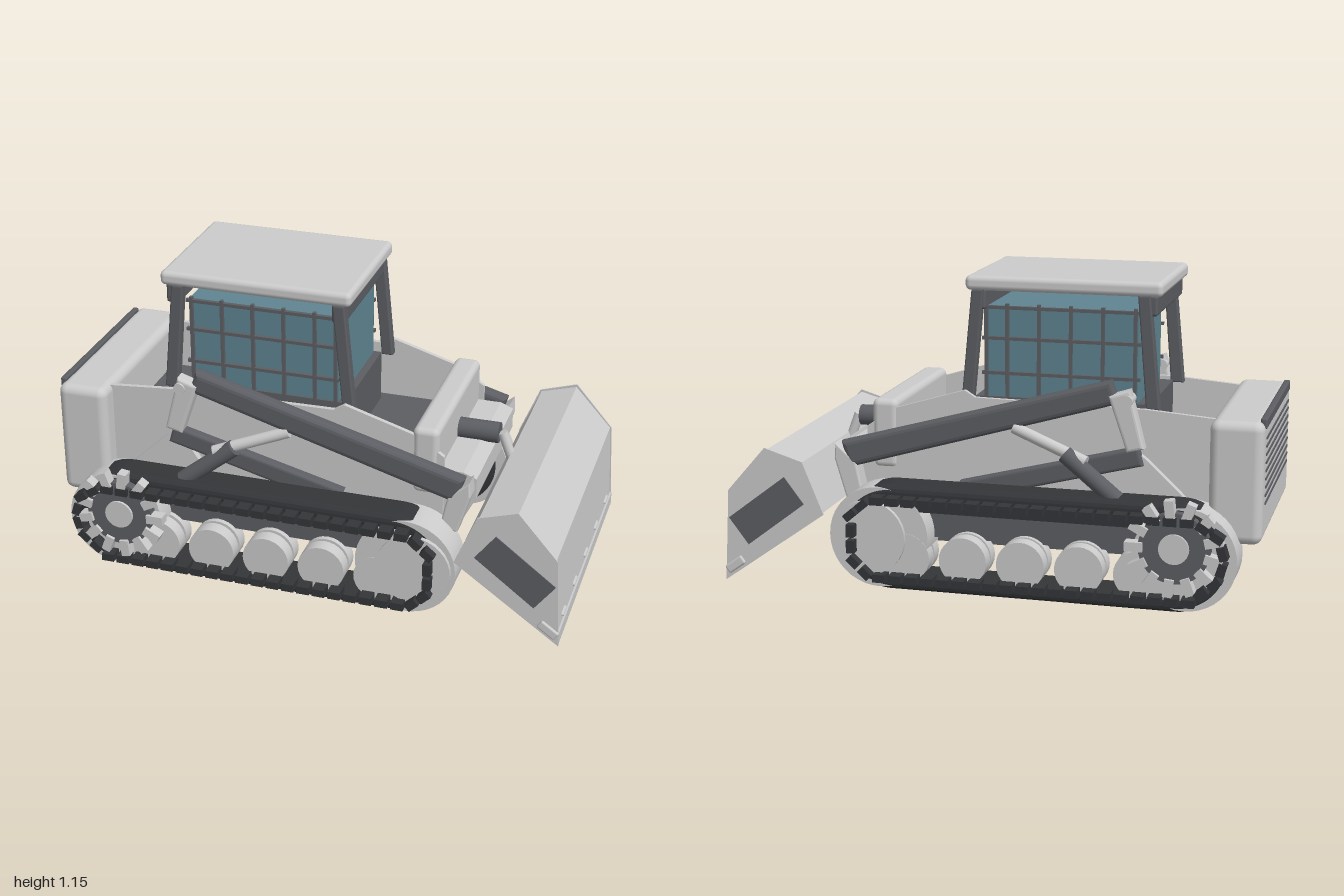
import * as THREE from 'three';
import { RoundedBoxGeometry } from 'three/addons/geometries/RoundedBoxGeometry.js';

const mat = (color) => new THREE.MeshStandardMaterial({ color });
const GREY = mat(0xcccccc);
const DARK = mat(0x5c5e63);
const RUBBER = mat(0x333538);
const GLASS = mat(0x5f8592);

export function createModel() {
  const root = new THREE.Group();
  root.name = 'trackedDozer';

  const add = (name, geometry, material, x = 0, y = 0, z = 0) => {
    const mesh = new THREE.Mesh(geometry, material);
    mesh.name = name;
    mesh.position.set(x, y, z);
    root.add(mesh);
    return mesh;
  };

  // box given by its limits on each axis, optionally rounded
  const block = (name, material, [x0, x1], [y0, y1], [z0, z1], r = 0) => {
    const w = x1 - x0, h = y1 - y0, d = Math.abs(z1 - z0);
    const geo = r ? new RoundedBoxGeometry(w, h, d, 3, r) : new THREE.BoxGeometry(w, h, d);
    return add(name, geo, material, (x0 + x1) / 2, (y0 + y1) / 2, (z0 + z1) / 2);
  };

  // side profile extruded between two z positions
  const slab = (name, material, shape, za, zb, bevel = 0) => {
    if (Array.isArray(shape)) shape = new THREE.Shape(shape.map(([x, y]) => new THREE.Vector2(x, y)));
    const z0 = Math.min(za, zb), z1 = Math.max(za, zb);
    const geo = new THREE.ExtrudeGeometry(shape, {
      depth: z1 - z0 - 2 * bevel, bevelEnabled: bevel > 0, bevelSize: bevel, bevelOffset: -bevel,
      bevelThickness: bevel, bevelSegments: 3, curveSegments: 20,
    });
    return add(name, geo, material, 0, 0, z0 + bevel);
  };

  // cylinder between two points
  const rod = (name, material, a, b, r, sides = 24) => {
    const p = new THREE.Vector3(...a), q = new THREE.Vector3(...b);
    const mesh = add(name, new THREE.CylinderGeometry(r, r, p.distanceTo(q), sides), material);
    mesh.position.copy(p).add(q).multiplyScalar(0.5);
    mesh.quaternion.setFromUnitVectors(new THREE.Vector3(0, 1, 0), q.sub(p).normalize());
    return mesh;
  };

  const stadium = (Path, x0, x1, y, r) => {
    const p = new Path();
    p.moveTo(x0, y - r);
    p.lineTo(x1, y - r);
    p.absarc(x1, y, r, -Math.PI / 2, Math.PI / 2, false);
    p.lineTo(x0, y + r);
    p.absarc(x0, y, r, Math.PI / 2, Math.PI * 1.5, false);
    return p;
  };

  // hull, rear engine box and nose
  slab('hull', DARK, [[-0.82, 0.24], [-0.72, 0.14], [0.4, 0.14], [0.52, 0.26], [0.52, 0.5], [-0.82, 0.5]], -0.28, 0.28);
  block('engineBox', GREY, [-0.995, -0.8], [0.24, 0.69], [-0.395, 0.395], 0.035);
  block('grilleTop', DARK, [-1, -0.975], [0.66, 0.7], [-0.35, 0.35], 0.008);
  for (let i = 0; i < 9; i++) {
    const y = 0.38 + i * 0.03;
    block('grilleSlat', DARK, [-0.999, -0.99], [y, y + 0.008], [-0.33, 0.33]);
  }
  block('frontCowl', GREY, [0.38, 0.48], [0.42, 0.685], [-0.325, 0.325], 0.025);
  slab('nose', GREY, [[0.46, 0.32], [0.57, 0.32], [0.62, 0.42], [0.62, 0.5], [0.57, 0.52], [0.46, 0.52]], -0.3, 0.3);
  rod('tiltCylinder', DARK, [0.46, 0.545, 0], [0.635, 0.545, 0], 0.04);
  rod('tiltRod', GREY, [0.645, 0.55, 0], [0.69, 0.43, 0], 0.019);

  // cab
  block('roof', GREY, [-0.605, 0.13], [1.1, 1.155], [-0.278, 0.278], 0.02);
  block('cabBase', DARK, [-0.56, 0.1], [0.45, 0.7], [-0.235, 0.235]);
  block('cabGlass', GLASS, [-0.51, 0.07], [0.69, 1.04], [-0.225, 0.225]);
  block('frontHeader', DARK, [0.055, 0.105], [1.03, 1.105], [-0.265, 0.265], 0.01);
  block('rearHeader', DARK, [-0.585, -0.535], [1.03, 1.105], [-0.265, 0.265], 0.01);

  // bucket with cutting edge and wear bolts
  const bucket = [[0.605, 0.29], [0.99, 0.022], [0.97, 0.355], [0.825, 0.515], [0.685, 0.475]];
  slab('bucket', GREY, bucket, -0.535, 0.535);
  const edge = [[0.82, 0.14], [0.995, 0.012], [0.995, 0.06], [0.985, 0.06]];
  slab('cuttingEdge', GREY, edge, -0.538, 0.538);
  for (let i = -2; i <= 2; i++) {
    const bolt = add('bucketBolt', new THREE.CapsuleGeometry(0.009, 0.045, 4, 10), GREY, 0.986, 0.086, i * 0.213);
    bolt.rotation.x = Math.PI / 2;
  }

  for (const s of [1, -1]) {
    // bucket ends
    slab('bucketEnd', GREY, [[0.6, 0.285], [0.995, 0.005], [0.975, 0.355], [0.827, 0.525], [0.68, 0.48]], s * 0.534, s * 0.54);
    const panel = add('bucketEndPanel', new THREE.BoxGeometry(0.28, 0.125, 0.008), DARK, 0.825, 0.285, s * 0.54);
    panel.rotation.z = -0.65;
    const lug = add('bucketEndBolt', new RoundedBoxGeometry(0.08, 0.035, 0.016, 2, 0.007), GREY, 0.955, 0.068, s * 0.541);
    lug.rotation.z = -0.62;

    // body side plate and arm stand
    slab('bodySide', GREY, [[-0.81, 0.3], [0.5, 0.3], [0.5, 0.58], [0.4, 0.65], [0.12, 0.735],
      [0.08, 0.71], [-0.56, 0.7], [-0.81, 0.68]], s * 0.3, s * 0.318);
    slab('armStand', GREY, [[-0.74, 0.36], [-0.4, 0.36], [-0.53, 0.55], [-0.57, 0.52]], s * 0.318, s * 0.345);

    // cab posts and window guard
    slab('frontPost', DARK, [[0.1, 0.69], [0.145, 0.69], [0.105, 1.105], [0.06, 1.105]], s * 0.235, s * 0.277, 0.006);
    slab('rearPost', DARK, [[-0.6, 0.69], [-0.55, 0.69], [-0.515, 1.105], [-0.56, 1.105]], s * 0.235, s * 0.277, 0.006);
    for (const x of [-0.5, -0.38, -0.26, -0.14, -0.02, 0.06])
      block('guardBar', DARK, [x - 0.006, x + 0.006], [0.69, 1.05], [s * 0.225, s * 0.24]);
    for (const y of [0.79, 0.92, 1.035])
      block('guardRail', DARK, [-0.52, 0.075], [y - 0.006, y + 0.006], [s * 0.225, s * 0.24]);

    // lift arm, links and hydraulic cylinder
    slab('liftArm', DARK, [[-0.47, 0.725], [-0.44, 0.81], [0.59, 0.525], [0.56, 0.425]], s * 0.315, s * 0.375, 0.02);
    slab('rearLink', GREY, [[-0.565, 0.565], [-0.5, 0.55], [-0.43, 0.755], [-0.51, 0.78]], s * 0.32, s * 0.38, 0.012);
    slab('lowerLink', DARK, [[-0.56, 0.5], [-0.54, 0.57], [0.13, 0.4], [0.1, 0.33]], s * 0.32, s * 0.365, 0.012);
    slab('armBracket', GREY, [[0.5, 0.31], [0.57, 0.31], [0.615, 0.46], [0.61, 0.52], [0.53, 0.45]], s * 0.3, s * 0.375, 0.008);
    rod('liftCylinder', DARK, [-0.48, 0.385, s * 0.425], [-0.28, 0.54, s * 0.405], 0.032);
    rod('liftRod', GREY, [-0.36, 0.515, s * 0.41], [-0.08, 0.615, s * 0.36], 0.022);
    rod('linkPin', GREY, [-0.5, 0.74, s * 0.31], [-0.5, 0.74, s * 0.388], 0.022);

    // track belt with crowned edges
    const belt = stadium(THREE.Shape, -0.705, 0.36, 0.2, 0.2);
    belt.holes.push(stadium(THREE.Path, -0.705, 0.36, 0.2, 0.135));
    slab('trackBelt', RUBBER, belt, s * 0.345, s * 0.49, 0.025);
    block('trackTopRun', RUBBER, [-0.64, 0.4], [0.305, 0.36], [s * 0.36, s * 0.485]);

    // end wheels, front idler face and track frame
    rod('rearWheel', GREY, [-0.735, 0.2, s * 0.35], [-0.735, 0.2, s * 0.488], 0.19, 40);
    rod('frontWheel', GREY, [0.405, 0.2, s * 0.35], [0.405, 0.2, s * 0.488], 0.19, 40);
    rod('idler', GREY, [0.44, 0.2, s * 0.4], [0.44, 0.2, s * 0.505], 0.14, 32);
    block('trackFrame', DARK, [-0.7, 0.4], [0.19, 0.29], [s * 0.27, s * 0.4]);

    // paired road wheels
    for (let i = 0; i < 5; i++) {
      const x = -0.57 + i * 0.2175;
      for (const z of [0.365, 0.435]) rod('roadWheel', GREY, [x, 0.13, s * z], [x, 0.13, s * (z + 0.055)], 0.09, 28);
      rod('roadAxle', DARK, [x, 0.13, s * 0.3], [x, 0.13, s * 0.48], 0.03, 12);
    }

    // drive sprocket
    rod('sprocket', DARK, [-0.705, 0.25, s * 0.48], [-0.705, 0.25, s * 0.525], 0.13, 32);
    rod('sprocketHub', GREY, [-0.705, 0.25, s * 0.5], [-0.705, 0.25, s * 0.535], 0.055, 24);
    for (let i = 0; i < 13; i++) {
      const a = (i / 13) * Math.PI * 2;
      const tooth = add('sprocketTooth', new THREE.BoxGeometry(0.065, 0.034, 0.045), GREY,
        -0.705 + Math.cos(a) * 0.145, 0.25 + Math.sin(a) * 0.145, s * 0.515);
      tooth.rotation.z = a;
    }

    // drive lugs along the outer edge of the belt
    const loop = new THREE.CurvePath();
    const corners = [[-0.78, 0.35], [0.43, 0.35], [0.5, 0.29], [0.5, 0.12], [0.43, 0.055], [-0.76, 0.055],
      [-0.86, 0.14], [-0.885, 0.22], [-0.86, 0.3], [-0.78, 0.35]].map(([x, y]) => new THREE.Vector2(x, y));
    for (let i = 1; i < corners.length; i++) loop.add(new THREE.LineCurve(corners[i - 1], corners[i]));
    const count = 52;
    for (let i = 0; i < count; i++) {
      const p = loop.getPointAt((i + 0.5) / count), t = loop.getTangentAt((i + 0.5) / count);
      const lugMesh = add('trackLug', new THREE.BoxGeometry(0.048, 0.03, 0.065), RUBBER, p.x, p.y, s * 0.508);
      lugMesh.rotation.z = Math.atan2(t.y, t.x);
    }
  }
  return root;
}
